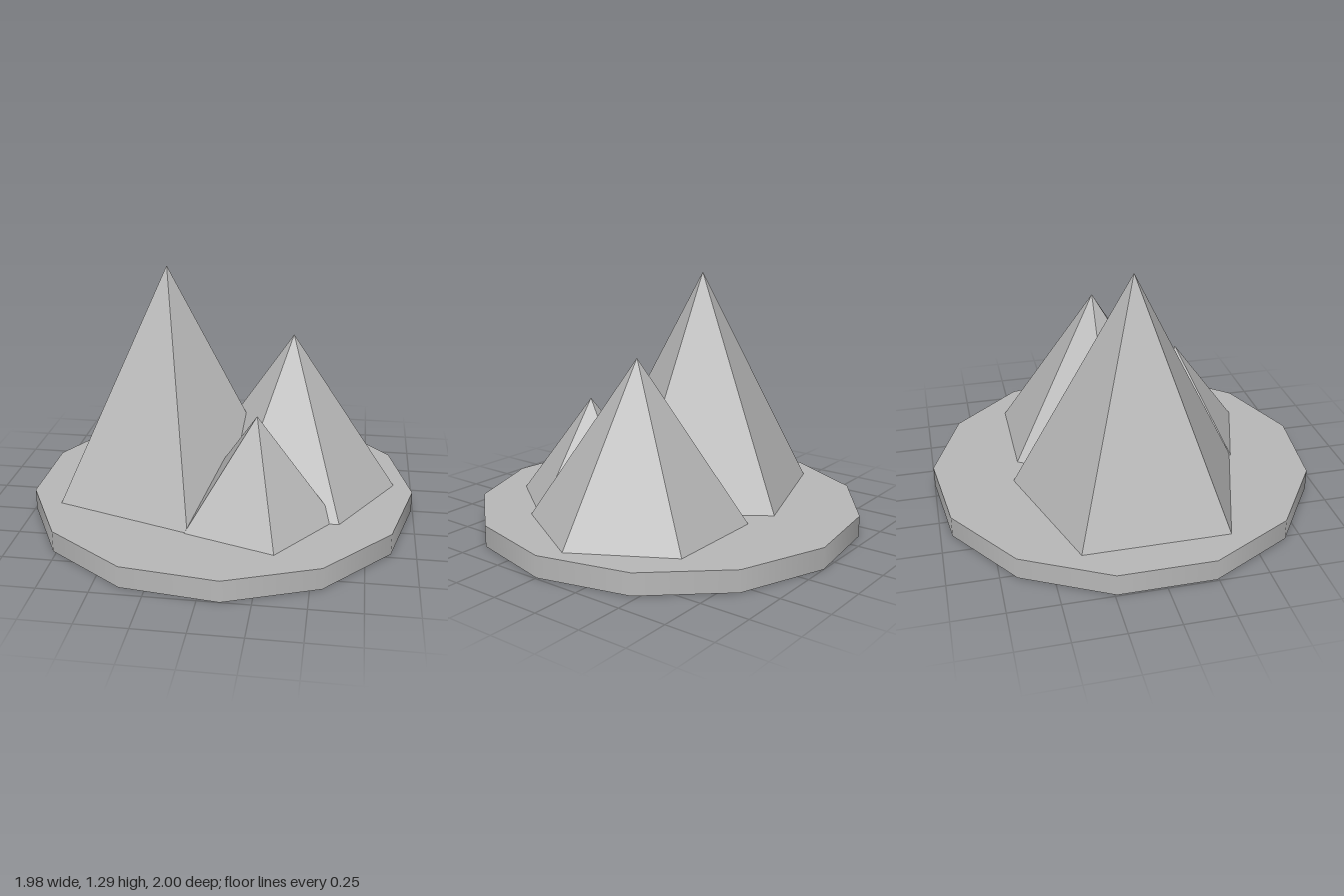
import * as THREE from 'three';

const BASE_HEIGHT = 0.11;

export function createModel() {
  const model = new THREE.Group();
  model.name = 'mountains';

  const stone = new THREE.MeshStandardMaterial({ color: 0xb8b8b8 });
  stone.name = 'stone grey';

  // Thirteen-sided disc with smooth sides, one corner pointing to +x
  const disc = new THREE.CylinderGeometry(1.007, 1.007, BASE_HEIGHT, 13, 1, false, Math.PI / 2);
  const base = new THREE.Mesh(disc, stone);
  base.name = 'base';
  base.position.set(-0.015, BASE_HEIGHT / 2, 0);
  model.add(base);

  // Faceted peak standing on the disc, one corner pointing to +x
  function addPeak(name, x, z, radius, top, sides) {
    const height = top - BASE_HEIGHT;
    const cone = new THREE.ConeGeometry(radius, height, sides, 1, true, Math.PI / 2).toNonIndexed();
    cone.computeVertexNormals();
    const peak = new THREE.Mesh(cone, stone);
    peak.name = name;
    peak.position.set(x, BASE_HEIGHT + height / 2, z);
    model.add(peak);
  }

  addPeak('tallPeak', -0.305, 0, 0.626, 1.293, 5);
  addPeak('middlePeak', 0.342, -0.073, 0.553, 0.935, 6);
  addPeak('smallPeak', 0.2, 0.36, 0.404, 0.647, 5);

  return model;
}
